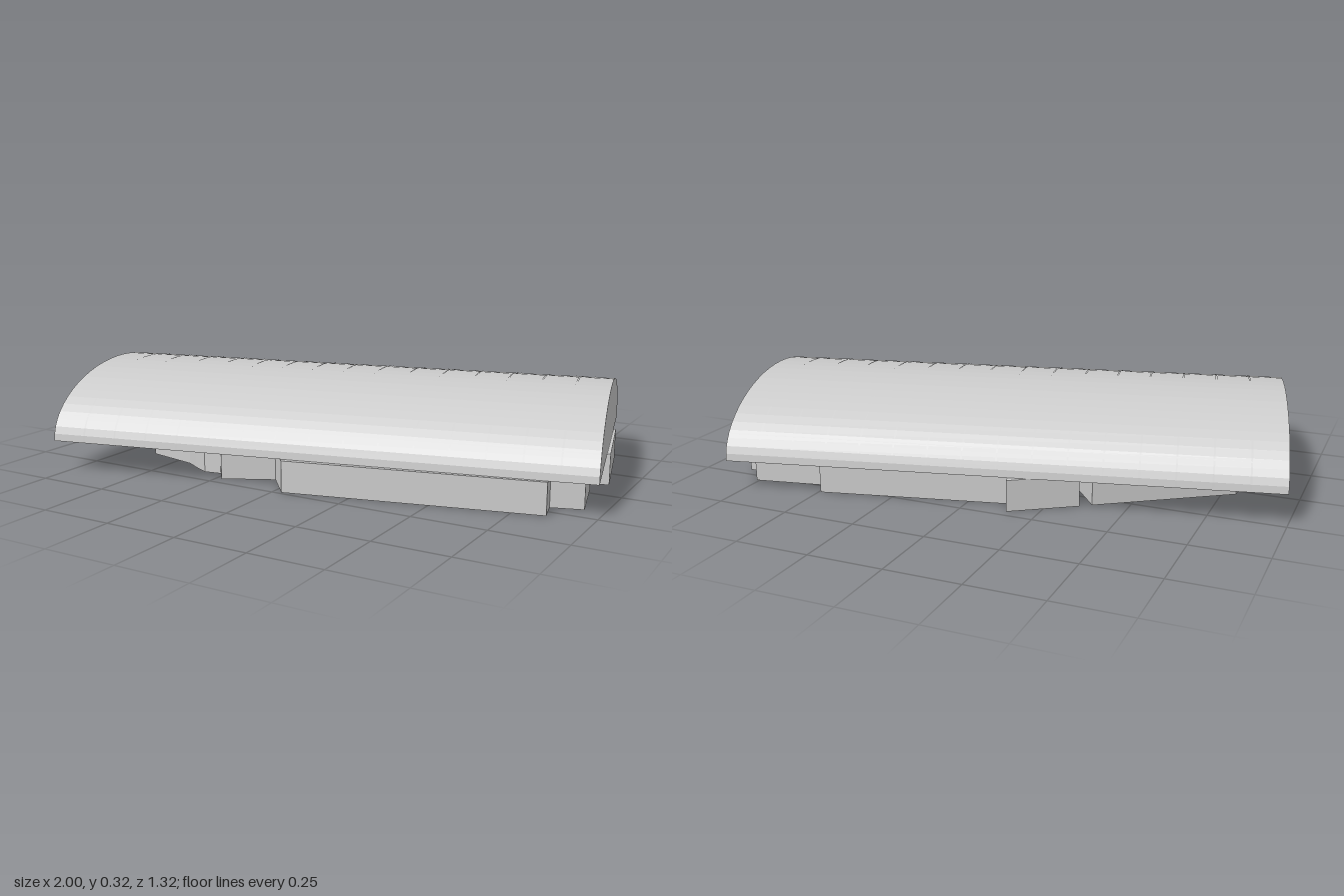
import * as THREE from 'three';

const LENGTH = 1.833, HALF_WIDTH = 0.466, RISE = 0.218, EAVE = 0.106;

const mat = new THREE.MeshStandardMaterial({ color: 0xcccccc, flatShading: true, side: THREE.DoubleSide });

function add(parent, name, geometry) {
  const mesh = new THREE.Mesh(geometry, mat);
  mesh.name = name;
  parent.add(mesh);
  return mesh;
}

// A patch of the elliptical vault: centred at x, between two angles (0 = back eave, PI = front eave)
function vault(x, length, from, to, segments, lift = 0) {
  const g = new THREE.PlaneGeometry(length, 1, 1, segments);
  const p = g.attributes.position;
  for (let i = 0; i < p.count; i++) {
    const a = from + (to - from) * (0.5 - p.getY(i));
    p.setXYZ(i, p.getX(i) + x, EAVE + (RISE + lift) * Math.sin(a), -(HALF_WIDTH + lift) * Math.cos(a));
  }
  g.computeVertexNormals();
  return g;
}

// Upright sheet following a plan outline of [x, z] points
function wallSheet(points, height) {
  const g = new THREE.PlaneGeometry(1, 1, points.length, 1);
  const p = g.attributes.position;
  for (let i = 0; i < p.count; i++) {
    const [x, z] = points[i % (points.length + 1) % points.length];
    p.setXYZ(i, x, i > points.length ? 0 : height, z);
  }
  g.computeVertexNormals();
  return g;
}

// Plan of the lower storey, with its steps and two narrow niches
const PLAN = [
  [0.03, 0.49], [0.854, 0.292], [0.835, 0.21], [0.936, 0.178],
  [0.887, -0.03], [0.63, 0.033], [0.612, -0.04], [0.925, -0.117],
  [0.843, -0.458], [0.78, -0.46], [0.76, -0.54], [0.51, -0.49], [0.493, -0.552],
  [-0.132, -0.405], [-0.15, -0.47],
  [-0.35, -0.335], [-0.275, -0.22], [-0.30, -0.20], [-0.385, -0.31],
  [-0.795, -0.03], [-0.81, 0.10], [-0.70, 0.25], [-0.68, 0.265], [-0.63, 0.32],
  [-0.44, 0.36], [-0.39, 0.39], [-0.33, 0.42], [-0.27, 0.41], [-0.23, 0.46], [-0.065, 0.38],
];

export function createModel() {
  const model = new THREE.Group();
  model.name = 'vaultedBuilding';

  // Roof, turned against the axes
  const roof = new THREE.Group();
  roof.name = 'roof';
  roof.rotation.y = 0.2285;
  model.add(roof);
  add(roof, 'roofShell', vault(0, LENGTH, 0, Math.PI, 28));

  // End gables
  const gable = new THREE.Shape();
  gable.absellipse(0, 0, HALF_WIDTH, RISE, 0, Math.PI, false, 0);
  for (const side of [-1, 1]) {
    const end = add(roof, side > 0 ? 'leftGable' : 'rightGable', new THREE.ShapeGeometry(gable, 14));
    end.rotation.y = side * Math.PI / 2;
    end.position.set(side * LENGTH / 2, EAVE, 0);
  }

  // Panel seams across the roof
  const BAYS = 16;
  for (let i = 1; i < BAYS; i++) {
    add(roof, 'crossSeam', vault((i / BAYS - 0.5) * LENGTH, 0.006, 0, Math.PI, 28, 0.001));
  }
  // Panel seams along the roof
  for (const v of [-0.92, -0.39, 0.39, 0.92]) {
    const a = Math.acos(v);
    add(roof, 'longSeam', vault(0, LENGTH, a - 0.007, a + 0.007, 1, 0.001));
  }

  // Lower walls and the ceiling over them
  add(model, 'walls', wallSheet(PLAN, EAVE));
  const ceiling = new THREE.ShapeGeometry(new THREE.Shape(PLAN.map(([x, z]) => new THREE.Vector2(x, -z))));
  ceiling.rotateX(-Math.PI / 2);
  ceiling.translate(0, EAVE, 0);
  add(model, 'ceiling', ceiling);

  return model;
}
